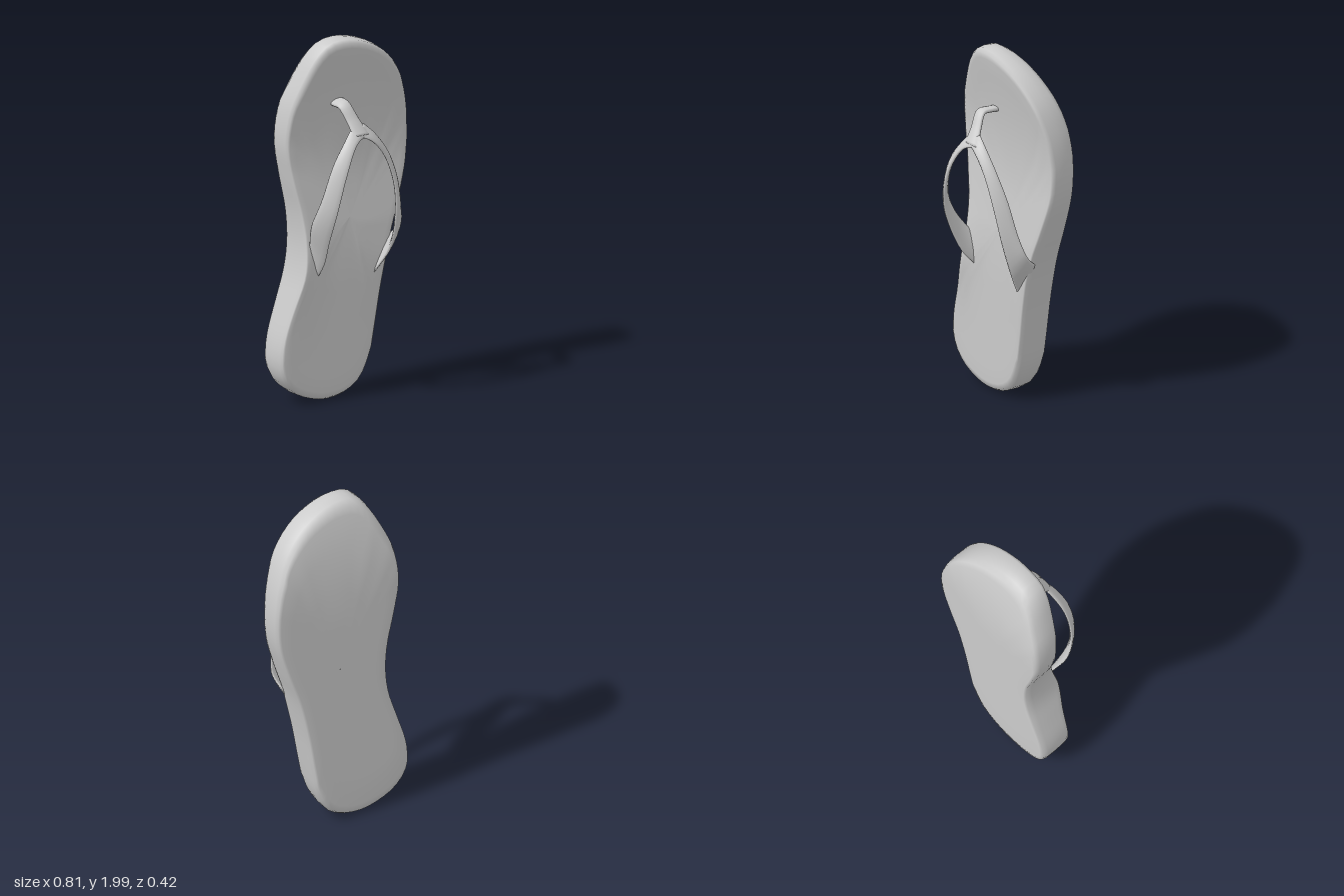
import * as THREE from 'three';

const material = new THREE.MeshStandardMaterial({ color: 0xcccccc, side: THREE.DoubleSide });

// Outline of the sole, clockwise from the heel tip
const OUTLINE = [
  [-0.11, 0.005], [-0.2, 0.02], [-0.31, 0.07], [-0.38, 0.15], [-0.405, 0.25], [-0.395, 0.36],
  [-0.34, 0.55], [-0.29, 0.72], [-0.27, 0.88], [-0.28, 1.05], [-0.32, 1.25], [-0.35, 1.45],
  [-0.33, 1.64], [-0.27, 1.8], [-0.2, 1.93], [-0.14, 1.985], [-0.06, 2.0], [0.04, 1.985],
  [0.18, 1.92], [0.3, 1.8], [0.37, 1.64], [0.4, 1.45], [0.39, 1.27], [0.33, 1.05],
  [0.265, 0.85], [0.21, 0.6], [0.17, 0.35], [0.14, 0.2], [0.08, 0.08], [0, 0.025],
];

// Height-dependent values: centre line, foot bed depth and underside depth
const SPINE = [[0, -0.11], [0.25, -0.125], [0.55, -0.07], [0.88, 0], [1.05, 0.025], [1.45, 0.025], [1.7, 0.01], [2, -0.06]];
const BED = [[0, -0.02], [0.4, -0.015], [0.75, -0.005], [0.95, -0.015], [1.3, -0.055], [1.45, -0.057], [1.6, -0.04], [1.8, 0], [1.97, 0.035]];
const UNDERSIDE = [[0, -0.205], [1.5, -0.205], [1.65, -0.195], [1.8, -0.165], [1.95, -0.125], [2, -0.105]];

function sample(table, y) {
  if (y <= table[0][0]) return table[0][1];
  for (let i = 1; i < table.length; i++) {
    const [y0, v0] = table[i - 1];
    const [y1, v1] = table[i];
    if (y <= y1) return v0 + ((v1 - v0) * (y - y0)) / (y1 - y0);
  }
  return table[table.length - 1][1];
}

// Skin a list of closed rings that all have the same number of points
function loft(rings) {
  const n = rings[0].length;
  const index = [];
  for (let i = 0; i < rings.length - 1; i++) {
    for (let j = 0; j < n; j++) {
      const a = i * n + j, b = i * n + ((j + 1) % n);
      index.push(a, a + n, b + n, a, b + n, b);
    }
  }
  const geometry = new THREE.BufferGeometry().setFromPoints(rings.flat());
  geometry.setIndex(index);
  geometry.computeVertexNormals();
  return geometry;
}

function part(name, geometry) {
  const mesh = new THREE.Mesh(geometry, material);
  mesh.name = name;
  return mesh;
}

// Rings run from the middle of the underside, around the rim, to the middle of the foot bed
function soleGeometry() {
  const curve = new THREE.CatmullRomCurve3(OUTLINE.map(([x, y]) => new THREE.Vector3(x, y, 0)), true);
  const points = curve.getSpacedPoints(96).slice(0, 96);
  const layers = [
    [0.001, 0], [0.25, 0], [0.5, 0], [0.75, 0], [0.93, 0], [0.975, 0.04], [0.995, 0.2], [1, 0.5],
    [0.995, 0.85], [0.98, 0.97], [0.95, 1], [0.85, 1], [0.65, 1], [0.4, 1], [0.2, 1], [0.001, 1],
  ];
  return loft(layers.map(([scale, depth]) => points.map((p) => {
    const y = 1 + (p.y - 1) * scale;
    const x = sample(SPINE, y) + (p.x - sample(SPINE, p.y)) * scale;
    // raised arch support on the inner side
    const arch = 0.03 * Math.exp(-(((x + 0.3) / 0.1) ** 2) - ((y - 0.75) / 0.2) ** 2);
    const z = THREE.MathUtils.lerp(sample(UNDERSIDE, y), sample(BED, y) + arch, depth);
    return new THREE.Vector3(x, y, z);
  })));
}

// Padded band between two edge curves, given as pairs of edge points
function bandGeometry(pairs, thickness) {
  const edges = [0, 1].map((k) => new THREE.CatmullRomCurve3(pairs.map((pair) => new THREE.Vector3(...pair[k]))));
  const centre = (t) => edges[0].getPoint(t).add(edges[1].getPoint(t)).multiplyScalar(0.5);
  const steps = 28, sides = 12, rings = [];
  for (let i = 0; i <= steps; i++) {
    const t = i / steps;
    const c = centre(t);
    const half = edges[1].getPoint(t).sub(c);
    const tangent = centre(Math.min(1, t + 0.01)).sub(centre(Math.max(0, t - 0.01)));
    const normal = tangent.cross(half).normalize().multiplyScalar(thickness / 2);
    const ring = [];
    for (let j = 0; j < sides; j++) {
      const a = (j / sides) * Math.PI * 2;
      ring.push(c.clone().addScaledVector(half, Math.cos(a)).addScaledVector(normal, -Math.sin(a)));
    }
    // closed ends
    if (i === 0) rings.push(ring.map(() => c.clone()));
    rings.push(ring);
    if (i === steps) rings.push(ring.map(() => c.clone()));
  }
  return loft(rings);
}

export function createModel() {
  const model = new THREE.Group();
  model.name = 'flipFlop';
  model.add(part('sole', soleGeometry()));

  // Edge pairs run from the toe junction down to the anchor: outer edge, inner edge
  model.add(part('innerStrap', bandGeometry([
    [[-0.05, 1.56, 0.12], [0.02, 1.5, 0.15]],
    [[-0.1, 1.5, 0.135], [-0.06, 1.47, 0.18]],
    [[-0.19, 1.37, 0.15], [-0.14, 1.33, 0.21]],
    [[-0.255, 1.17, 0.13], [-0.195, 1.12, 0.2]],
    [[-0.28, 1.03, 0.075], [-0.21, 0.95, 0.145]],
    [[-0.25, 0.92, 0.01], [-0.2, 0.8, 0.075]],
    [[-0.22, 0.86, -0.04], [-0.19, 0.7, -0.01]],
  ], 0.025)));

  model.add(part('outerStrap', bandGeometry([
    [[0.01, 1.56, 0.12], [-0.05, 1.5, 0.15]],
    [[0.07, 1.5, 0.125], [0.03, 1.47, 0.17]],
    [[0.15, 1.39, 0.12], [0.11, 1.38, 0.175]],
    [[0.22, 1.24, 0.1], [0.18, 1.2, 0.165]],
    [[0.27, 1.05, 0.07], [0.205, 1.0, 0.13]],
    [[0.295, 0.93, 0.03], [0.2, 0.8, 0.065]],
    [[0.27, 0.86, -0.04], [0.15, 0.65, -0.02]],
  ], 0.025)));

  // Post between the toes, bending out of the foot bed and down to the straps
  model.add(part('toePost', bandGeometry([
    [[-0.09, 1.63, -0.07], [-0.02, 1.65, -0.07]],
    [[-0.1, 1.64, 0.01], [-0.025, 1.66, 0.01]],
    [[-0.1, 1.64, 0.055], [-0.03, 1.655, 0.055]],
    [[-0.08, 1.57, 0.105], [-0.005, 1.58, 0.105]],
    [[-0.07, 1.5, 0.155], [0.03, 1.5, 0.15]],
  ], 0.035)));

  return model;
}
